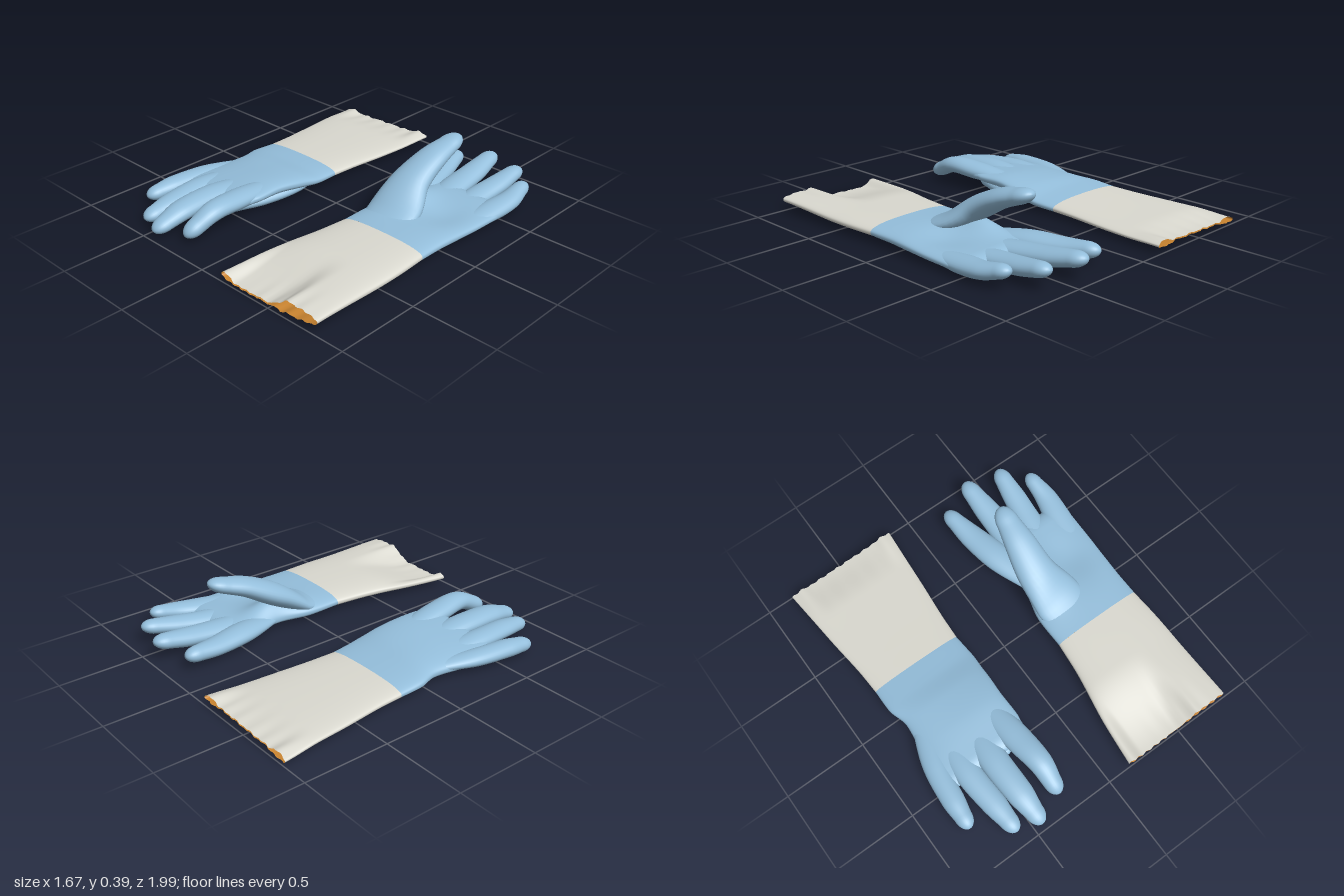
import * as THREE from 'three';

const V = (x, y, z) => new THREE.Vector3(x, y, z);
const bump = (d, w) => Math.exp(-(d * d) / (w * w));
const ramp = (v, a, b) => THREE.MathUtils.smoothstep(v, a, b);
const lerp = THREE.MathUtils.lerp;

// Lofts oval rings along sections [x, y, z, halfWidth, halfHeight].
// cap: length of the rounded end; flat: keep rings square to z; e: ring squareness;
// deform: moves each point; inside: turn the faces inward.
function loft(sections, { cap = 0, flat = false, e = 1, sides = 28, steps = 24, deform = null, inside = false } = {}) {
  const path = new THREE.CatmullRomCurve3(sections.map(s => V(s[0], s[1], s[2])));
  const size = new THREE.CatmullRomCurve3(sections.map(s => V(s[3], s[4], 0)));
  const dir = Math.sign(sections[sections.length - 1][2] - sections[0][2]);
  const pos = [], index = [];
  let rings = 0;
  const addRing = (c, t, rx, ry) => {
    const side = V(0, 1, 0).cross(t).normalize();
    const up = t.clone().cross(side);
    for (let j = 0; j < sides; j++) {
      const a = (j / sides) * Math.PI * 2;
      const co = Math.cos(a), si = Math.sin(a);
      const p = c.clone()
        .addScaledVector(side, rx * Math.sign(co) * Math.abs(co) ** e)
        .addScaledVector(up, ry * Math.sign(si) * Math.abs(si) ** e);
      if (deform) deform(p, si);
      pos.push(p.x, p.y, p.z);
    }
    rings++;
  };
  const tangent = u => (flat ? V(0, 0, dir) : path.getTangent(u));
  for (let i = 0; i <= steps; i++) {
    const u = i / steps, s = size.getPoint(u);
    addRing(path.getPoint(u), tangent(u), s.x, s.y);
  }
  if (cap) {
    const c = path.getPoint(1), t = tangent(1), s = size.getPoint(1);
    for (let k = 1; k <= 8; k++) {
      const a = (k / 8) * Math.PI / 2, f = k === 8 ? 0.001 : Math.cos(a);
      // wide flat ends taper in height only, so the sides stay full
      const fx = flat ? 0.85 + 0.15 * f : f;
      addRing(c.clone().addScaledVector(t, cap * Math.sin(a)), t, s.x * fx, s.y * f);
    }
  }
  for (let i = 0; i < rings - 1; i++) {
    for (let j = 0; j < sides; j++) {
      const k = (j + 1) % sides;
      const a = i * sides + j, b = i * sides + k, c = a + sides, d = b + sides;
      if (inside) index.push(a, c, b, b, c, d);
      else index.push(a, b, c, b, d, c);
    }
  }
  const g = new THREE.BufferGeometry();
  g.setAttribute('position', new THREE.Float32BufferAttribute(pos, 3));
  g.setIndex(index);
  g.computeVertexNormals();
  return g;
}

export function createModel() {
  const paint = (name, color) => {
    const m = new THREE.MeshStandardMaterial({ color });
    m.name = name;
    return m;
  };
  const blue = paint('blue rubber', 0x94bedb);
  const grey = paint('pale grey cuff', 0xd9d8cf);
  const orange = paint('orange lining', 0xc8832f);

  function makeGlove(name, spec) {
    const glove = new THREE.Group();
    glove.name = name;
    const add = (part, geometry, material) => {
      const mesh = new THREE.Mesh(geometry, material);
      mesh.name = part;
      glove.add(mesh);
    };
    const wide = { flat: true, e: 0.8, sides: 128, steps: 40 };
    const cuffShape = { ...wide, deform: spec.cuffFold };
    add('cuff', loft(spec.cuff, cuffShape), grey);
    add('cuffLining', loft(spec.cuff, { ...cuffShape, cap: 0.02, inside: true }), orange);
    add('palm', loft(spec.palm, { ...wide, cap: 0.09, deform: spec.palmFold }), blue);
    for (const [part, sections] of Object.entries(spec.fingers)) {
      add(part, loft(sections, { cap: sections[sections.length - 1][3] * 1.5 }), blue);
    }
    return glove;
  }

  // Glove lying palm up, thumb raised
  const palmUp = makeGlove('palmUpGlove', {
    cuff: [[.487, .062, .99, .343, .038], [.5, .065, .7, .325, .044], [.525, .067, .4, .297, .045], [.53, .068, .2, .28, .045]],
    cuffFold: (p, si) => {
      const open = ramp(p.z, .5, 1);
      // top layer lies on the bottom one, leaving the two corners open
      const pinch = open * ramp(p.x, .16, .25) * (1 - ramp(p.x, .5, .64));
      if (si > 0) p.y = lerp(p.y, .13 - p.y, pinch * .92);
      p.y += open * (p.x - .5) * .045;
      // gathered folds at the mouth
      p.y += ramp(p.z, .75, 1) * .007 * Math.sin(p.x * 62) * bump(p.x - .56, .14);
      p.z += ramp(p.z, .93, 1) * .004 * Math.sin(p.x * 110);
    },
    palm: [[.53, .068, .2, .28, .045], [.53, .066, 0, .28, .05], [.557, .06, -.2, .262, .046], [.553, .057, -.4, .272, .043], [.56, .057, -.46, .265, .042]],
    palmFold: (p, si) => {
      if (si <= 0) return;
      // hollow of the hand and the web between thumb and index finger
      p.y -= si * .02 * bump(p.x - .64, .13) * bump(p.z + .2, .16);
      p.y += si * .075 * bump(p.x - .37, .1) * bump(p.z + .2, .16);
    },
    fingers: {
      thumb: [[.42, .06, .16, .12, .02], [.415, .098, -.02, .158, .055], [.382, .208, -.2, .12, .068], [.39, .3, -.38, .093, .056], [.4, .34, -.505, .07, .045]],
      indexFinger: [[.37, .06, -.2, .06, .025], [.29, .07, -.48, .086, .05], [.245, .073, -.68, .072, .048], [.222, .085, -.81, .053, .044]],
      middleFinger: [[.46, .058, -.25, .07, .022], [.43, .065, -.55, .084, .048], [.42, .085, -.75, .075, .05], [.412, .11, -.885, .058, .044]],
      ringFinger: [[.59, .056, -.25, .06, .02], [.594, .06, -.55, .076, .046], [.61, .08, -.72, .07, .046], [.62, .103, -.845, .055, .042]],
      littleFinger: [[.73, .056, -.2, .06, .02], [.752, .06, -.48, .078, .045], [.768, .075, -.62, .066, .045], [.762, .098, -.72, .05, .04]],
    },
  });

  // Glove lying palm down, thumb tucked underneath
  const palmDown = makeGlove('palmDownGlove', {
    cuff: [[-.49, .045, -.99, .35, .029], [-.487, .046, -.6, .318, .034], [-.485, .05, -.35, .293, .037], [-.485, .052, -.2, .285, .04]],
    cuffFold: (p, si) => {
      const open = ramp(-p.z, .75, 1);
      // layers meet along the mouth except at its corners
      p.y = lerp(p.y, .045 + si * .003, .95 * open * (1 - ramp(Math.abs(p.x + .49), .2, .3)));
      p.y += open * ((p.x + .49) * .03 + .003 * Math.sin(p.x * 55));
      p.z += ramp(-p.z, .93, 1) * .004 * Math.sin(p.x * 100);
    },
    palm: [[-.485, .052, -.2, .285, .04], [-.48, .06, -.06, .29, .046], [-.467, .074, .07, .272, .054], [-.482, .085, .24, .278, .053], [-.5, .085, .4, .298, .047], [-.5, .085, .44, .292, .045]],
    palmFold: (p, si) => {
      p.y += (p.x + .48) * .1 * ramp(p.z, -.1, .3);
      // hollow of the hand
      if (si < 0) p.y -= si * .025 * bump(p.x + .52, .14) * bump(p.z - .18, .16);
    },
    fingers: {
      thumb: [[-.35, .06, -.12, .09, .02], [-.31, .057, .08, .105, .042], [-.32, .05, .3, .084, .042], [-.355, .048, .45, .063, .038]],
      indexFinger: [[-.32, .1, .2, .06, .03], [-.287, .122, .5, .08, .05], [-.266, .128, .7, .069, .05], [-.27, .08, .815, .055, .046]],
      middleFinger: [[-.45, .085, .2, .06, .025], [-.462, .1, .55, .083, .05], [-.455, .09, .77, .077, .05], [-.45, .062, .885, .058, .043]],
      ringFinger: [[-.6, .08, .18, .06, .022], [-.618, .08, .5, .077, .046], [-.602, .07, .72, .071, .046], [-.592, .056, .84, .055, .042]],
      littleFinger: [[-.66, .072, .08, .05, .02], [-.745, .07, .36, .068, .042], [-.772, .065, .57, .066, .046], [-.78, .056, .677, .052, .042]],
    },
  });

  const model = new THREE.Group();
  model.name = 'glovePair';
  model.add(palmUp, palmDown);
  return model;
}
